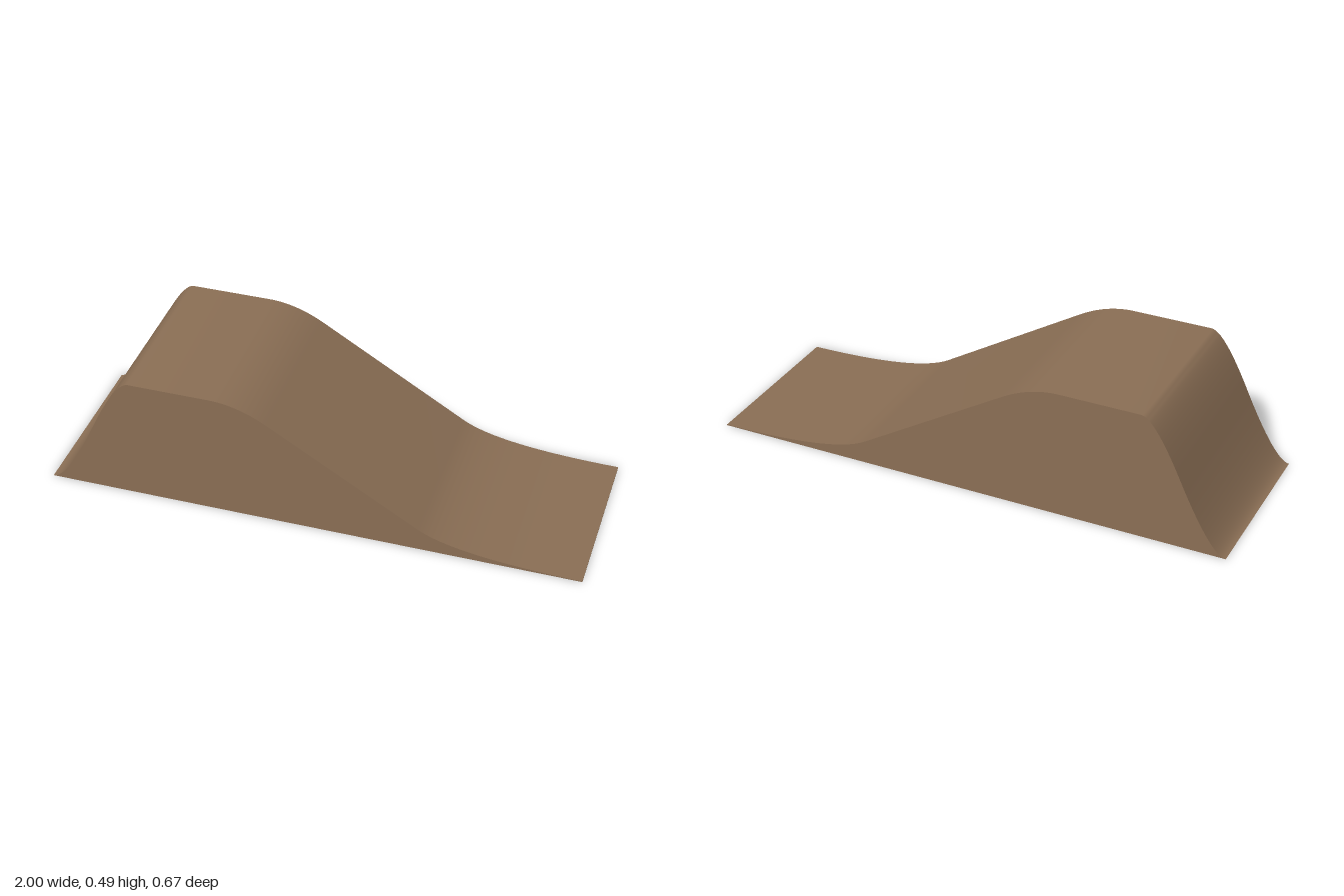
import * as THREE from 'three';
import { toCreasedNormals } from 'three/addons/utils/BufferGeometryUtils.js';

export function createModel() {
  const group = new THREE.Group();
  group.name = 'dirtRamp';

  const earth = new THREE.MeshStandardMaterial({ color: 0x8b6f55 });
  earth.name = 'earth brown';

  // Side profile: steep rise, flat top, long slope running out to a thin edge
  const profile = new THREE.Shape();
  profile.moveTo(-1, 0);
  profile.lineTo(1, 0);
  profile.lineTo(1, 0.003);
  profile.quadraticCurveTo(0.54, 0.005, 0.4, 0.09);
  profile.lineTo(-0.15, 0.42);
  profile.quadraticCurveTo(-0.26, 0.487, -0.37, 0.487);
  profile.lineTo(-0.67, 0.487);
  profile.quadraticCurveTo(-0.72, 0.487, -0.82, 0.27);
  profile.quadraticCurveTo(-0.945, 0, -1, 0);

  // Extrude across the width, smooth along the curves and sharp at the sides
  const width = 0.667;
  const solid = new THREE.ExtrudeGeometry(profile, { depth: width, bevelEnabled: false, curveSegments: 16 });
  solid.translate(0, 0, -width / 2);

  const ramp = new THREE.Mesh(toCreasedNormals(solid, 0.5), earth);
  ramp.name = 'rampBody';
  group.add(ramp);
  return group;
}
